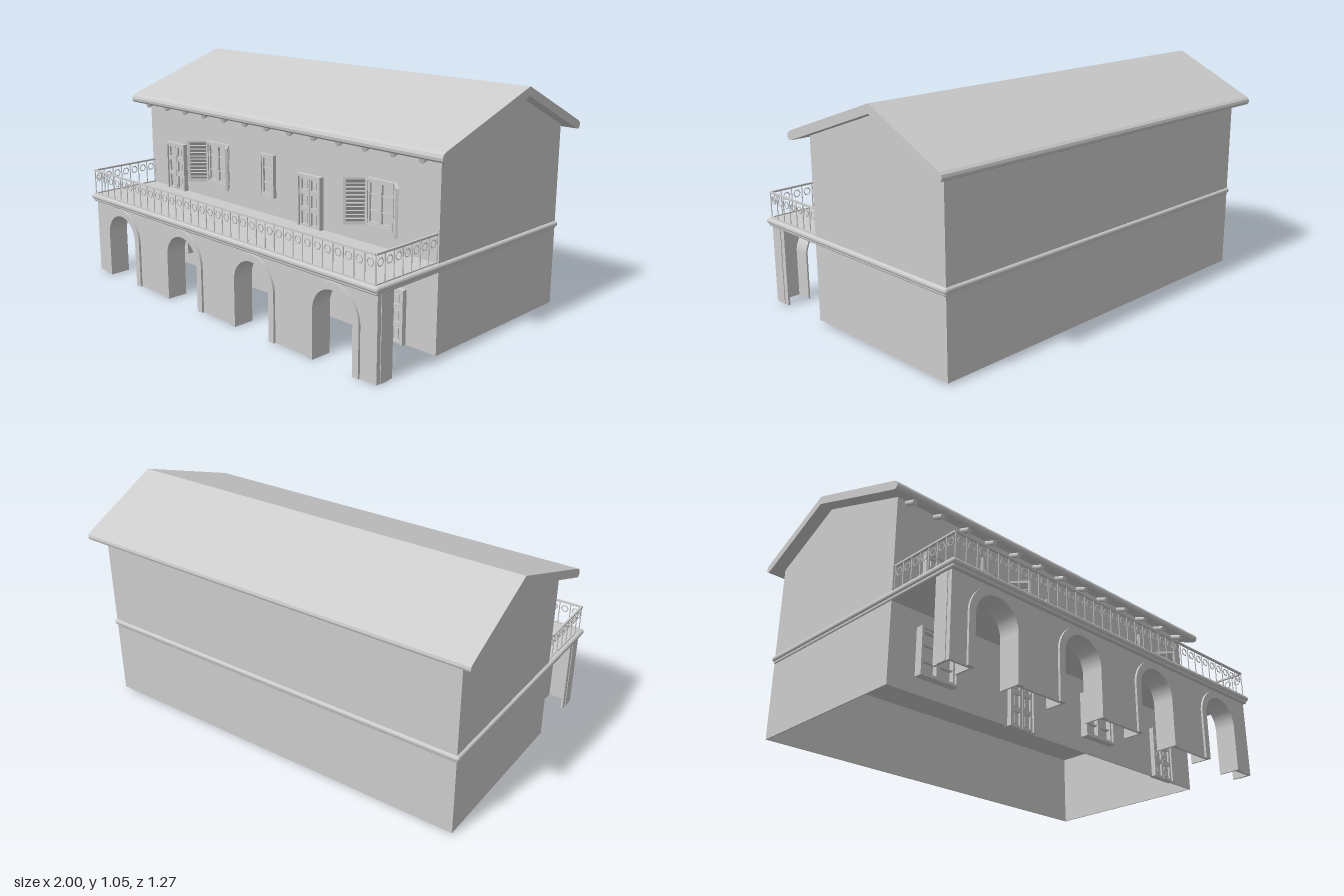
import * as THREE from 'three';
import { RoundedBoxGeometry } from 'three/addons/geometries/RoundedBoxGeometry.js';

const grey = new THREE.MeshStandardMaterial({ color: 0xcccccc });
const WALL = 0.26; // z of the house front

function add(parent, name, geo, x = 0, y = 0, z = 0) {
  const m = new THREE.Mesh(geo, grey);
  m.name = name;
  m.position.set(x, y, z);
  parent.add(m);
  return m;
}
// box given by its extents
function box(parent, name, x0, x1, y0, y1, z0, z1) {
  return add(parent, name, new THREE.BoxGeometry(x1 - x0, y1 - y0, z1 - z0), (x0 + x1) / 2, (y0 + y1) / 2, (z0 + z1) / 2);
}
function group(parent, name, x = 0, y = 0, z = 0) {
  const g = new THREE.Group();
  g.name = name;
  g.position.set(x, y, z);
  parent.add(g);
  return g;
}
// side profile in (z, y), extruded along x and centred
function alongX(shape, width) {
  return new THREE.ExtrudeGeometry(shape, { depth: width, bevelEnabled: false, curveSegments: 5 })
    .rotateY(Math.PI / 2).translate(-width / 2, 0, 0);
}
const zy = (pts) => new THREE.Shape(pts.map(([z, y]) => new THREE.Vector2(-z, y)));

// rectangular border of four bars, lying in the xy plane
function frame(parent, name, x0, x1, y0, y1, t, z0, z1) {
  box(parent, name, x0, x0 + t, y0, y1, z0, z1);
  box(parent, name, x1 - t, x1, y0, y1, z0, z1);
  box(parent, name, x0 + t, x1 - t, y1 - t, y1, z0, z1);
  box(parent, name, x0 + t, x1 - t, y0, y0 + t, z0, z1);
}

function door(parent, x, y0, w, h) {
  const g = group(parent, 'door', x, y0, WALL);
  const t = 0.012, a = w / 2;
  box(g, 'doorBack', -a, a, 0, h, -0.015, 0.006);
  box(g, 'doorJamb', -a, -a + t, 0, h, 0, 0.023);
  box(g, 'doorJamb', a - t, a, 0, h, 0, 0.023);
  box(g, 'doorHead', -a + t, a - t, h - t, h, 0, 0.023);
  const leaf = a - t, rows = [0.004, 0.36, 0.7, 1];
  for (const s of [-1, 1]) {
    const c = s * leaf / 2, b = leaf / 2 - 0.001;
    for (let i = 0; i < 3; i++) {
      const lo = rows[i] * (h - t), hi = rows[i + 1] * (h - t);
      frame(g, 'doorLeafRail', c - b, c + b, lo, hi, 0.011, 0.004, 0.015);
      box(g, 'doorPanel', c - b + 0.018, c + b - 0.018, lo + 0.018, hi - 0.018, 0.004, 0.011);
    }
  }
}

function windowUnit(parent, x, y0, w, h, sashes, depth) {
  const g = group(parent, 'window', x, y0, WALL);
  const t = 0.01, a = w / 2;
  box(g, 'glass', -a + t / 2, a - t / 2, t / 2, h - t / 2, -0.012, 0.003);
  frame(g, 'windowFrame', -a, a, 0, h, t, -0.02, depth);
  const sw = (w - 2 * t) / sashes;
  for (let s = 0; s < sashes; s++) {
    const x0 = -a + t + s * sw;
    frame(g, 'sash', x0, x0 + sw, t, h - t, 0.009, 0, depth * 0.7);
    for (const f of [1 / 3, 2 / 3])
      box(g, 'glazingBar', x0, x0 + sw, h * f - 0.003, h * f + 0.003, 0, depth * 0.55);
  }
}

function shutter(parent, hingeX, side, y0, h) {
  const g = group(parent, 'shutter', hingeX, y0, WALL + 0.006);
  const len = 0.1;
  // local +x runs from the hinge outward, swung half open
  g.rotation.y = side > 0 ? -Math.PI / 4 : -Math.PI * 3 / 4;
  frame(g, 'shutterFrame', 0, len, 0, h, 0.011, -0.006, 0.006);
  const n = 11;
  for (let i = 0; i < n; i++) {
    const slat = add(g, 'slat', new THREE.BoxGeometry(len - 0.02, 0.017, 0.003), len / 2, 0.018 + (h - 0.036) * i / (n - 1), 0);
    slat.rotation.x = 0.6 * side;
  }
}

function railing(parent, length) {
  const g = group(parent, 'railing');
  const n = Math.round(length / 0.0547), step = length / n;
  box(g, 'topRail', -length / 2, length / 2, 0.514, 0.522, -0.005, 0.005);
  box(g, 'bottomRail', -length / 2, length / 2, 0.398, 0.404, -0.004, 0.004);
  const bar = new THREE.CylinderGeometry(0.0025, 0.0025, 0.12, 5);
  const ring = new THREE.TorusGeometry(0.017, 0.0028, 4, 6);
  for (let i = 0; i <= n; i++) {
    add(g, 'baluster', bar, -length / 2 + i * step, 0.458, 0);
    if (i < n) add(g, 'railingRing', ring, -length / 2 + (i + 0.5) * step, 0.484, 0);
  }
  return g;
}

// arch outline: legs from y0 and a half circle
function archPath(P, c, r, spring, y0) {
  const p = new P();
  p.moveTo(c + r, y0);
  p.lineTo(c + r, spring);
  p.absarc(c, spring, r, 0, Math.PI, false);
  p.lineTo(c - r, y0);
  return p;
}

export function createModel() {
  const house = new THREE.Group();
  house.name = 'house';

  // ground floor: thin walls, open underneath
  const t = 0.006;
  box(house, 'frontWall', -0.94, 0.94, 0.01, 0.38, WALL - t, WALL);
  box(house, 'backWall', -0.94, 0.94, 0.01, 0.38, -0.58, -0.58 + t);
  for (const s of [-1, 1])
    box(house, 'sideWall', s * (0.94 - t / 2) - t / 2, s * (0.94 - t / 2) + t / 2, 0.01, 0.38, -0.58 + t, WALL - t);

  // upper floor with gables
  add(house, 'upperFloor', alongX(zy([[WALL, 0.38], [WALL, 0.845], [-0.23, 1.018], [-0.58, 0.85], [-0.58, 0.38]]), 1.88));

  // roof slab with rounded eaves
  const roof = new THREE.Shape();
  roof.moveTo(0.23, 1.05);
  roof.lineTo(-0.315, 0.861);
  roof.bezierCurveTo(-0.345, 0.85, -0.335, 0.81, -0.312, 0.82);
  roof.lineTo(0.23, 1.01);
  roof.lineTo(0.612, 0.825);
  roof.bezierCurveTo(0.637, 0.813, 0.65, 0.848, 0.625, 0.86);
  add(house, 'roof', alongX(roof, 2));

  // rafter ends under the front eave
  const rafter = new THREE.CylinderGeometry(0.012, 0.012, 0.12, 10).rotateX(Math.PI / 2 + 0.336);
  for (let i = 0; i < 13; i++) add(house, 'rafterEnd', rafter, -0.892 + i * 0.148, 0.829, 0.257);

  // balcony slab running on as a string course round the house
  const slab = group(house, 'balconySlab', 0, 0, 0.0225);
  add(slab, 'slabEdge', new RoundedBoxGeometry(1.905, 0.026, 1.225, 3, 0.012), 0, 0.386, 0);
  add(slab, 'slabMoulding', new RoundedBoxGeometry(1.89, 0.02, 1.208, 2, 0.008), 0, 0.371, 0);

  // arcade: thin face with four openings and deep reveals
  const centres = [-0.715, -0.24, 0.235, 0.71];
  const spring = 0.215, rIn = 0.108, rOut = 0.14;
  const face = new THREE.Shape();
  face.moveTo(-0.935, 0.366);
  face.lineTo(-0.935, 0);
  for (const c of centres) {
    face.lineTo(c - rIn, 0);
    face.lineTo(c - rIn, spring);
    face.absarc(c, spring, rIn, Math.PI, 0, true);
    face.lineTo(c + rIn, 0);
  }
  face.lineTo(0.935, 0);
  face.lineTo(0.935, 0.366);
  const arcade = group(house, 'arcade');
  add(arcade, 'arcadeWall', new THREE.ExtrudeGeometry(face, { depth: 0.012, bevelEnabled: false, curveSegments: 20 }), 0, 0, 0.598);
  const ringShape = (c, r0, r1) => {
    const s = archPath(THREE.Shape, c, r1, spring, 0);
    s.lineTo(c - r0, 0);
    s.lineTo(c - r0, spring);
    s.absarc(c, spring, r0, Math.PI, 0, true);
    s.lineTo(c + r0, 0);
    return s;
  };
  for (const c of centres) {
    const opts = (depth) => ({ depth, bevelEnabled: false, curveSegments: 20 });
    add(arcade, 'archReveal', new THREE.ExtrudeGeometry(ringShape(c, rIn, rIn + 0.008), opts(0.09)), 0, 0, 0.52);
    add(arcade, 'archTrim', new THREE.ExtrudeGeometry(ringShape(c, rIn, rOut), opts(0.018)), 0, 0, 0.602);
  }
  for (const s of [-1, 1]) {
    box(arcade, 'endPier', s * 0.93 - 0.005, s * 0.93 + 0.005, 0, 0.366, 0.52, 0.598);
    box(arcade, 'pierStrip', s * 0.933 - 0.005, s * 0.933 + 0.005, 0, 0.36, 0.545, 0.59);
  }

  // balcony railings
  railing(house, 1.86).position.z = 0.618;
  for (const s of [-1, 1]) {
    const r = railing(house, 0.358);
    r.rotation.y = Math.PI / 2;
    r.position.set(s * 0.93, 0, 0.439);
  }

  // doors
  for (const x of [-0.245, 0.71]) door(house, x, 0.01, 0.145, 0.24);
  for (const x of [-0.722, 0.235]) door(house, x, 0.396, 0.145, 0.24);

  // windows
  for (const x of [-0.715, 0.235]) windowUnit(house, x, 0.08, 0.19, 0.21, 2, 0.036);
  windowUnit(house, -0.04, 0.485, 0.092, 0.2, 1, 0.018);
  for (const x of [-0.397, 0.642]) {
    windowUnit(house, x, 0.48, 0.15, 0.205, 2, 0.018);
    for (const s of [-1, 1]) shutter(house, x + s * 0.074, s, 0.482, 0.204);
  }
  return house;
}
